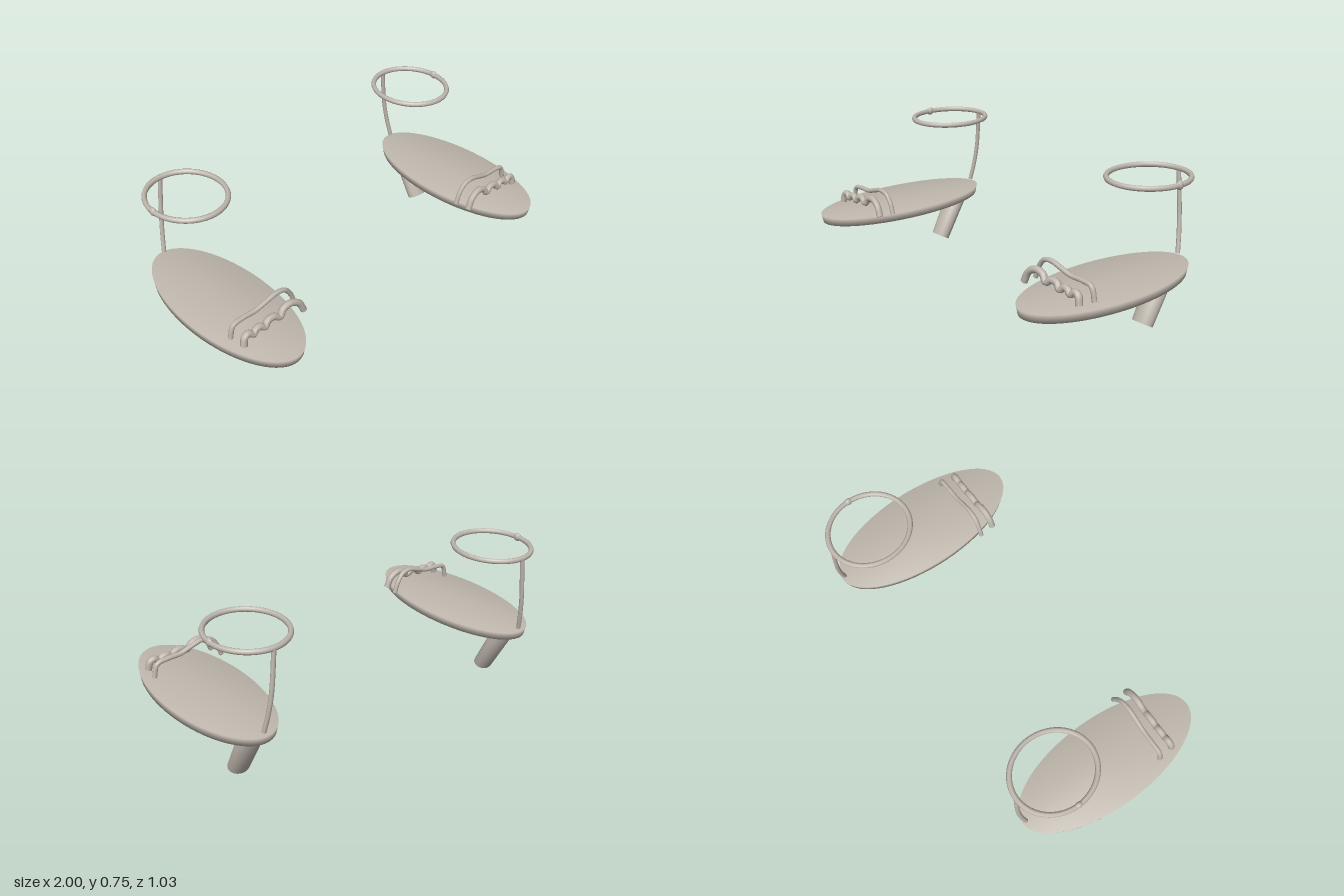
import * as THREE from 'three';
import { mergeVertices } from 'three/addons/utils/BufferGeometryUtils.js';

const taupe = new THREE.MeshStandardMaterial({ color: 0xc0b8ae, side: THREE.DoubleSide });
taupe.name = 'taupe';

// Joins caps and sides so the whole surface shades softly
function soften(geometry) {
  geometry.deleteAttribute('normal');
  geometry.deleteAttribute('uv');
  const merged = mergeVertices(geometry, 1e-4);
  merged.computeVertexNormals();
  return merged;
}

function addMesh(parent, name, geometry, x = 0, y = 0, z = 0) {
  const mesh = new THREE.Mesh(geometry, taupe);
  mesh.name = name;
  mesh.position.set(x, y, z);
  parent.add(mesh);
  return mesh;
}

// Round cord through a few points, mirrored by side, with closed ends
function addCord(parent, name, points, radius, side, segments, sides = 8) {
  const path = new THREE.CatmullRomCurve3(points.map(([x, y, z]) => new THREE.Vector3(x * side, y, z)));
  const cord = addMesh(parent, name, new THREE.TubeGeometry(path, segments, radius, sides));
  for (const t of [0, 1]) {
    const p = path.getPointAt(t);
    const cap = addMesh(cord, name + 'End', new THREE.CircleGeometry(radius, sides), p.x, p.y, p.z);
    const outward = path.getTangentAt(t).multiplyScalar(t ? 1 : -1);
    cap.quaternion.setFromUnitVectors(new THREE.Vector3(0, 0, 1), outward);
  }
}

function createSandal(side) {
  const sandal = new THREE.Group();
  sandal.name = side > 0 ? 'leftSandal' : 'rightSandal';

  // Oval sole, slightly narrower underneath
  const sole = new THREE.CylinderGeometry(1, 0.98, 0.042, 64);
  sole.scale(0.218, 1, 0.503);
  addMesh(sandal, 'sole', soften(sole), 0.782 * side, 0.288, 0.012);

  // Slanted oval heel, just reaching through the sole
  const heel = new THREE.CylinderGeometry(0.065, 0.056, 0.296, 32);
  heel.scale(1, 1, 0.77);
  addMesh(sandal, 'heel', soften(heel), 0.782 * side, 0.154, -0.317).rotation.x = -0.49;

  // Back strap rising to the ankle
  addCord(sandal, 'backStrap', [
    [0.783, 0.322, -0.473], [0.768, 0.42, -0.491], [0.754, 0.53, -0.501], [0.735, 0.728, -0.5],
  ], 0.011, side, 20);

  // Oval ankle strap with a bead on its outer side
  const ankle = new THREE.TorusGeometry(0.204, 0.0135, 8, 64);
  ankle.rotateX(Math.PI / 2);
  ankle.scale(0.9, 1, 1);
  addMesh(sandal, 'ankleStrap', ankle, 0.735 * side, 0.728, -0.293);
  addMesh(sandal, 'bead', new THREE.SphereGeometry(0.021, 10, 8), 0.918 * side, 0.728, -0.293)
    .scale.x = 0.7;

  // Smooth arched strap across the toes
  addCord(sandal, 'rearToeStrap', [
    [0.557, 0.318, 0.232], [0.578, 0.375, 0.232], [0.612, 0.417, 0.234], [0.66, 0.427, 0.235],
    [0.72, 0.412, 0.234], [0.78, 0.395, 0.232], [0.85, 0.393, 0.23], [0.905, 0.382, 0.23],
    [0.925, 0.318, 0.23],
  ], 0.012, side, 48);

  // Wavy strap looping over each toe
  addCord(sandal, 'frontToeStrap', [
    [0.565, 0.32, 0.308], [0.59, 0.372, 0.306], [0.635, 0.397, 0.303], [0.678, 0.388, 0.302],
    [0.703, 0.36, 0.307], [0.735, 0.378, 0.303], [0.77, 0.375, 0.303], [0.79, 0.353, 0.307],
    [0.815, 0.37, 0.303], [0.84, 0.366, 0.304], [0.855, 0.352, 0.307], [0.882, 0.37, 0.304],
    [0.903, 0.36, 0.306], [0.913, 0.32, 0.31],
  ], 0.017, side, 72);

  return sandal;
}

export function createModel() {
  const model = new THREE.Group();
  model.name = 'pairOfSandals';
  for (const side of [1, -1]) model.add(createSandal(side));
  return model;
}
